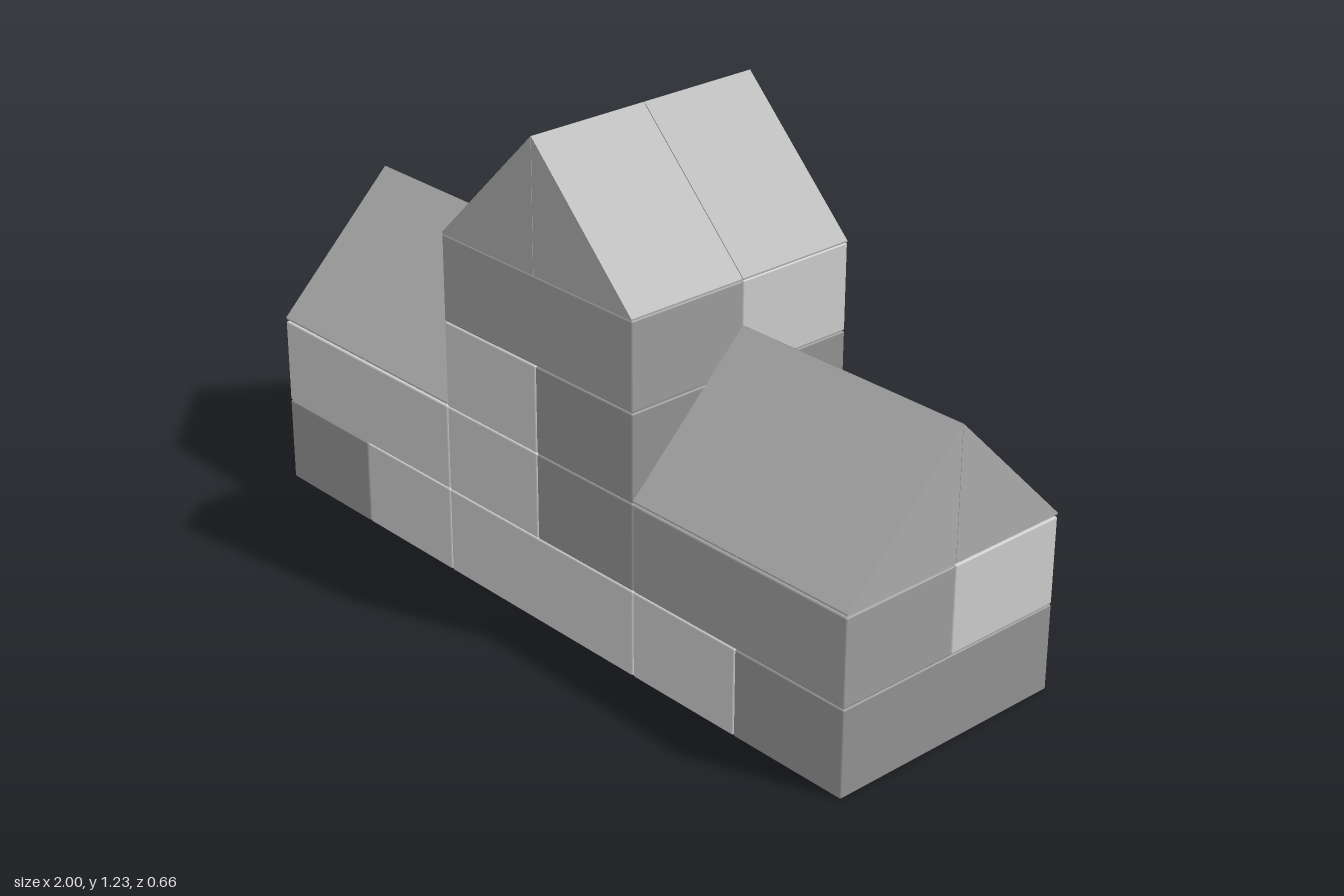
import * as THREE from 'three';
import { RoundedBoxGeometry } from 'three/addons/geometries/RoundedBoxGeometry.js';

const U = 1 / 3;      // block module in plan
const H = 0.2235;     // height of one course
const GAP = 0.002;    // hairline joint between blocks

const material = (color) => new THREE.MeshStandardMaterial({ color });
const light = material(0xcccccc);
const mid = material(0x9c9c9c);
const dark = material(0x919191);
const roofGrey = material(0xababab);

// Block spanning x0..x1 and z0..z1 (in modules) on a given course
function block(name, course, x0, x1, z0, z1, mat) {
  const geometry = new RoundedBoxGeometry((x1 - x0) * U - GAP, H - GAP, (z1 - z0) * U - GAP, 1, 0.004);
  const mesh = new THREE.Mesh(geometry, mat);
  mesh.name = name;
  mesh.position.set(((x0 + x1) / 2) * U, (course + 0.5) * H, ((z0 + z1) / 2) * U);
  return mesh;
}

// Gable roof along z made of four wedge blocks, two on each slope
function gableRoof(name) {
  const roof = new THREE.Group();
  roof.name = name;
  const w = U - GAP;
  for (const side of [-1, 1]) {
    const profile = new THREE.Shape([
      new THREE.Vector2(side * 0.0005, 0),
      new THREE.Vector2(side * w, 0),
      new THREE.Vector2(side * w, 0.004),
      new THREE.Vector2(side * 0.0005, 0.333),
    ]);
    const geometry = new THREE.ExtrudeGeometry(profile, { depth: U - GAP, bevelEnabled: false });
    for (const z of [-1, 0]) {
      const wedge = new THREE.Mesh(geometry, roofGrey);
      wedge.name = 'roofWedge';
      wedge.position.z = z * U + GAP / 2;
      roof.add(wedge);
    }
  }
  return roof;
}

export function createModel() {
  const model = new THREE.Group();
  model.name = 'blockHouse';

  // Ground course
  for (const s of [-1, 1]) {
    const span = (a, b) => (s > 0 ? [a, b] : [-b, -a]);
    model.add(block('endBlock', 0, ...span(2, 3), -1, 1, dark));
    model.add(block('baseBlock', 0, ...span(1, 2), -1, 1, light));
  }
  model.add(block('frontBaseBlock', 0, -1, 1, 0, 1, light));
  model.add(block('backBaseBlock', 0, -1, 1, -1, 0, dark));

  // Wing walls, tones swapped from one wing to the other
  model.add(block('leftWingFront', 1, 1, 3, 0, 1, mid));
  model.add(block('leftWingBack', 1, 1, 3, -1, 0, light));
  model.add(block('rightWingFront', 1, -3, -1, 0, 1, light));
  model.add(block('rightWingBack', 1, -3, -1, -1, 0, mid));

  // Tower walls
  for (const course of [1, 2]) {
    model.add(block('towerLeftBlock', course, 0, 1, -1, 1, dark));
    model.add(block('towerRightBlock', course, -1, 0, -1, 1, light));
  }
  model.add(block('towerTopFront', 3, -1, 1, 0, 1, mid));
  model.add(block('towerTopBack', 3, -1, 1, -1, 0, light));

  // Roofs
  const towerRoof = gableRoof('towerRoof');
  towerRoof.position.y = 4 * H;
  model.add(towerRoof);
  for (const s of [-1, 1]) {
    const wingRoof = gableRoof(s > 0 ? 'leftWingRoof' : 'rightWingRoof');
    wingRoof.rotation.y = Math.PI / 2;
    wingRoof.position.set(s * 2 * U, 2 * H + 0.005, 0);
    model.add(wingRoof);
  }

  // Studs just breaking through the tower roof's right eave
  const studGeometry = new THREE.CylinderGeometry(0.055, 0.055, 0.03, 24);
  for (const z of [-0.25, -0.083, 0.083, 0.25]) {
    const stud = new THREE.Mesh(studGeometry, mid);
    stud.name = 'stud';
    stud.position.set(-0.265, 4 * H + 0.012, z);
    model.add(stud);
  }

  return model;
}
